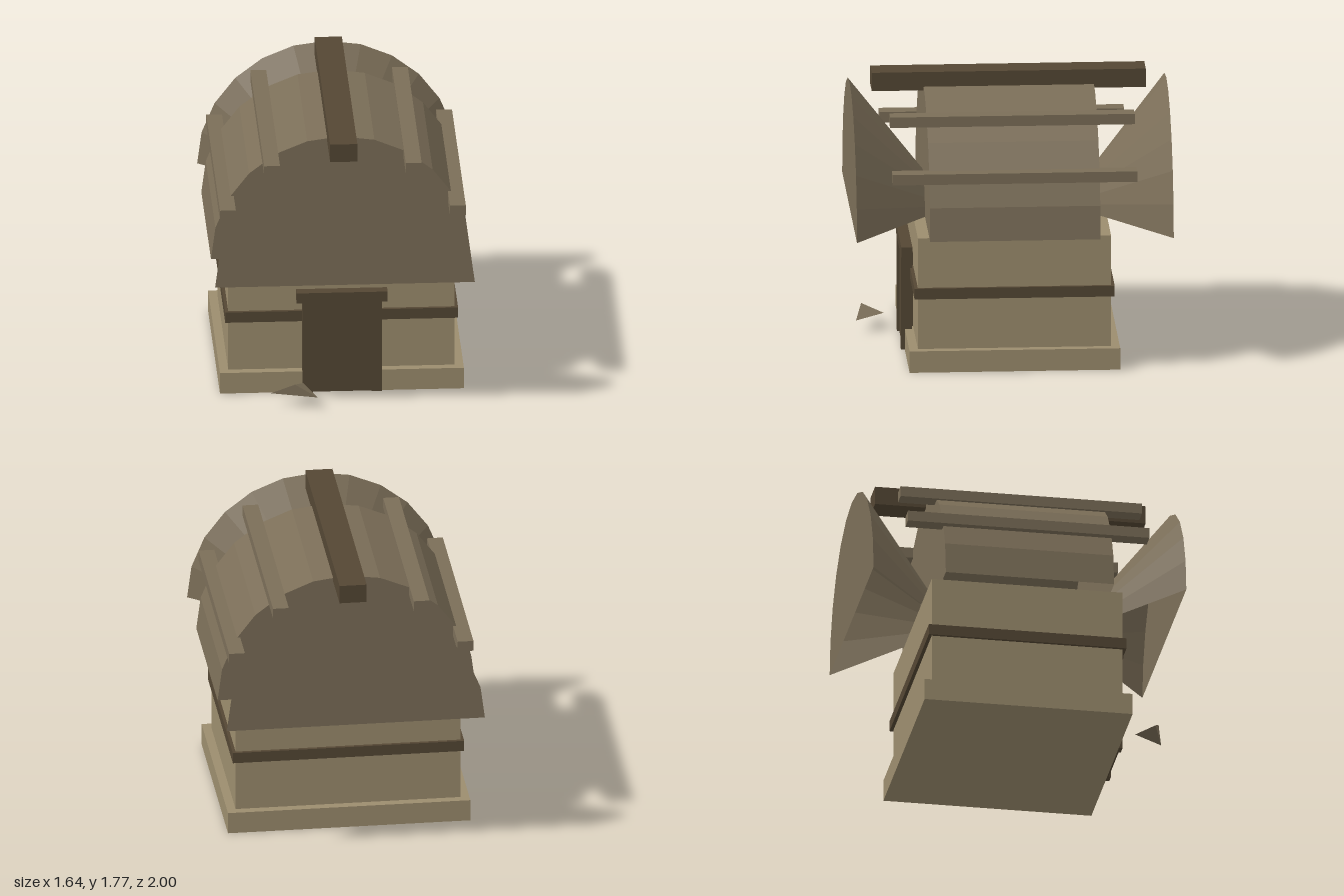
import * as THREE from 'three';

export function createModel() {
  const model = new THREE.Group();
  model.name = 'barrelRoofHouse';

  const mat = (name, color, extra = {}) => {
    const m = new THREE.MeshStandardMaterial({ color, flatShading: true, ...extra });
    m.name = name;
    return m;
  };
  const wallTan = mat('wallTan', 0x9c8d6e);
  const roofBrown = mat('roofBrown', 0x7b6e58, { side: THREE.DoubleSide });
  const darkWood = mat('darkWood', 0x544734);

  const add = (name, geometry, material) => {
    const mesh = new THREE.Mesh(geometry, material);
    mesh.name = name;
    model.add(mesh);
    return mesh;
  };

  // Box given by its lower and upper bounds on each axis
  const box = (name, material, [x0, x1], [y0, y1], [z0, z1]) => {
    const mesh = add(name, new THREE.BoxGeometry(x1 - x0, y1 - y0, z1 - z0), material);
    mesh.position.set((x0 + x1) / 2, (y0 + y1) / 2, (z0 + z1) / 2);
    return mesh;
  };

  // Upper half of a cylinder or frustum lying along z
  const halfRound = (name, rFront, rBack, length, z) => {
    const g = new THREE.CylinderGeometry(rFront, rBack, length, 12, 1, false, Math.PI / 2, Math.PI);
    g.rotateX(Math.PI / 2);
    add(name, g, roofBrown).position.set(0, 0.87, z);
  };

  // Body
  box('plinth', wallTan, [-0.77, 0.77], [0, 0.14], [-0.665, 0.665]);
  box('walls', wallTan, [-0.715, 0.715], [0.14, 0.865], [-0.61, 0.61]);
  box('wallBand', darkWood, [-0.735, 0.735], [0.47, 0.54], [-0.632, 0.632]);

  // Doorway
  box('doorPanel', darkWood, [-0.185, 0.185], [0.004, 0.62], [0.605, 0.676]);
  for (const s of [-1, 1]) {
    const xs = s < 0 ? [-0.25, -0.185] : [0.185, 0.25];
    box(s < 0 ? 'rightDoorPost' : 'leftDoorPost', darkWood, xs, [0.004, 0.616], [0.62, 0.69]);
  }
  box('doorLintel', darkWood, [-0.287, 0.287], [0.616, 0.685], [0.62, 0.69]);

  // Barrel roof with a flared gable at each end
  halfRound('barrelRoof', 0.82, 0.82, 1.076, 0);
  halfRound('frontGable', 0.82, 0.24, 0.462, 0.769);
  halfRound('backGable', 0.24, 0.82, 0.462, -0.769);

  // Roof timbers
  box('ridgeBeam', darkWood, [-0.086, 0.086], [1.655, 1.775], [-0.865, 0.865]);
  for (const s of [-1, 1]) {
    const side = s < 0 ? 'right' : 'left';
    for (const [name, x, y] of [['UpperPurlin', 0.447, 1.563], ['LowerPurlin', 0.726, 1.265]]) {
      box(side + name, roofBrown, [s * x - 0.05, s * x + 0.05], [y - 0.034, y + 0.034], [-0.772, 0.772]);
    }
  }

  // Loose four-faced shard beside the door
  const shard = new THREE.BufferGeometry();
  shard.setAttribute('position', new THREE.Float32BufferAttribute([
    -0.46, 0.08, 0.865, -0.31, 0.155, 0.91, -0.17, 0.08, 0.95, -0.25, 0.105, 0.77,
  ], 3));
  shard.setIndex([0, 2, 1, 0, 1, 3, 1, 2, 3, 0, 3, 2]);
  const flatShard = shard.toNonIndexed();
  flatShard.computeVertexNormals();
  add('shard', flatShard, roofBrown);

  return model;
}
